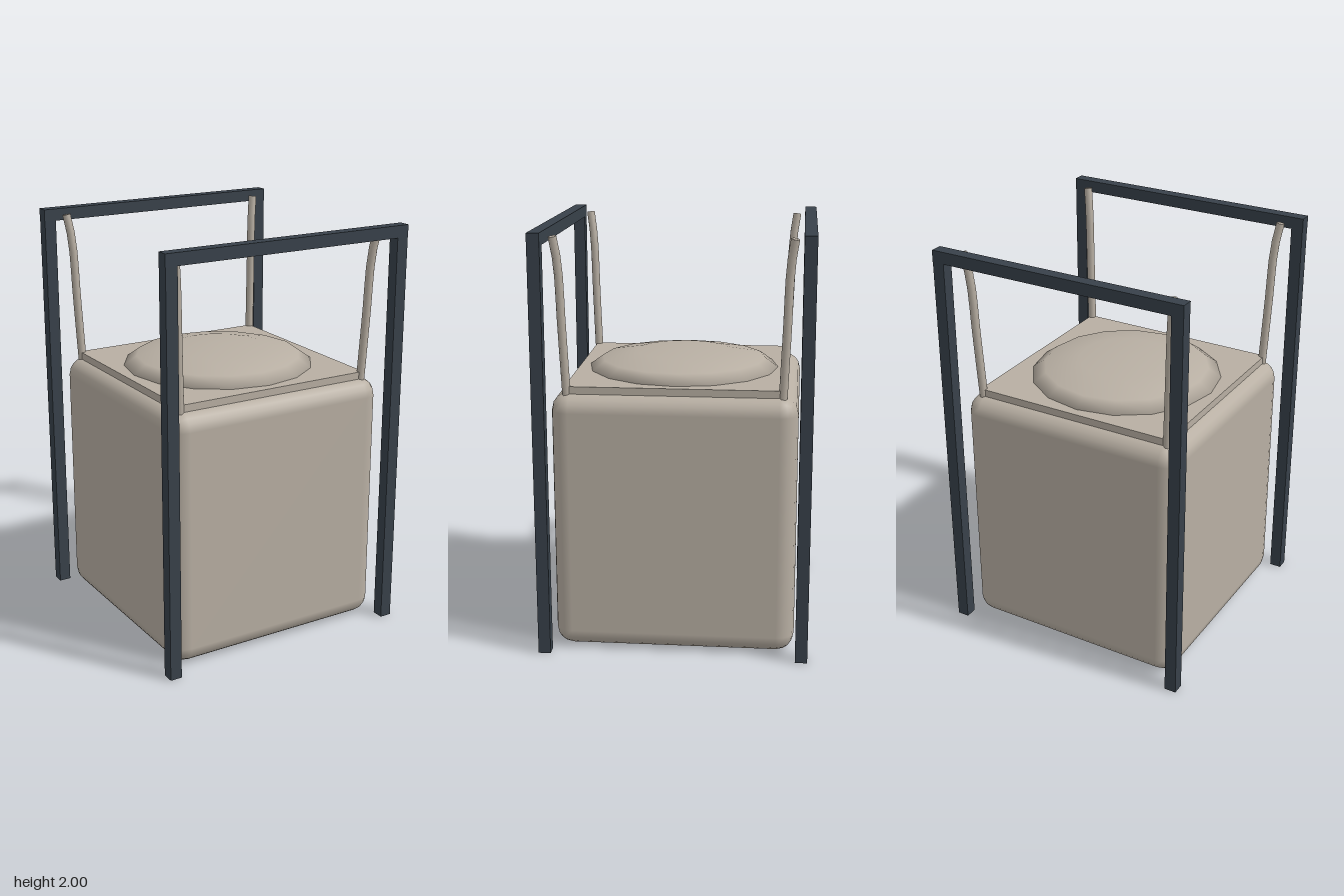
import * as THREE from 'three';
import { RoundedBoxGeometry } from 'three/addons/geometries/RoundedBoxGeometry.js';

const fabric = new THREE.MeshStandardMaterial({ color: 0xb8afa3, side: THREE.DoubleSide });
fabric.name = 'beige fabric';
const steel = new THREE.MeshStandardMaterial({ color: 0x38414a });
steel.name = 'dark steel';

export function createModel() {
  const model = new THREE.Group();
  model.name = 'bulkBagInFrame';

  const add = (name, geometry, material, x, y, z) => {
    const mesh = new THREE.Mesh(geometry, material);
    mesh.name = name;
    mesh.position.set(x, y, z);
    model.add(mesh);
    return mesh;
  };

  // Soft-edged bag with a flat lid panel
  add('bagBody', new RoundedBoxGeometry(1.145, 1.245, 1.145, 2, 0.085), fabric, 0, 0.6275, 0);
  add('lidPanel', new THREE.BoxGeometry(1.02, 0.04, 1.02), fabric, 0, 1.26, 0);

  // Shallow mound on the lid
  const mound = add('filledMound',
    new THREE.SphereGeometry(0.465, 16, 3, 0, Math.PI * 2, 0, Math.PI / 2), fabric, 0, 1.28, 0);
  mound.scale.y = 0.09 / 0.465;

  for (const sz of [1, -1]) {
    // Top rail and two posts on each side
    add(sz > 0 ? 'frontRail' : 'backRail',
      new THREE.BoxGeometry(1.28, 0.058, 0.058), steel, 0, 1.971, sz * 0.61);
    for (const sx of [1, -1]) {
      const corner = (sz > 0 ? 'front' : 'back') + (sx > 0 ? 'Left' : 'Right');
      add(corner + 'Post', new THREE.BoxGeometry(0.058, 1.942, 0.058), steel, sx * 0.61, 0.971, sz * 0.61);

      // Lifting strap leaning out from the bag corner
      const path = new THREE.CatmullRomCurve3(
        [[0.5, 1.235], [0.513, 1.56], [0.524, 1.85], [0.541, 1.975]]
          .map(([d, y]) => new THREE.Vector3(sx * d, y, sz * d)));
      add(corner + 'Strap', new THREE.TubeGeometry(path, 8, 0.02, 6), fabric, 0, 0, 0);

      // Strap end cap
      const cap = add(corner + 'StrapEnd', new THREE.CircleGeometry(0.02, 6), fabric, sx * 0.541, 1.975, sz * 0.541);
      cap.lookAt(cap.position.clone().add(path.getTangent(1)));
    }
  }
  return model;
}
